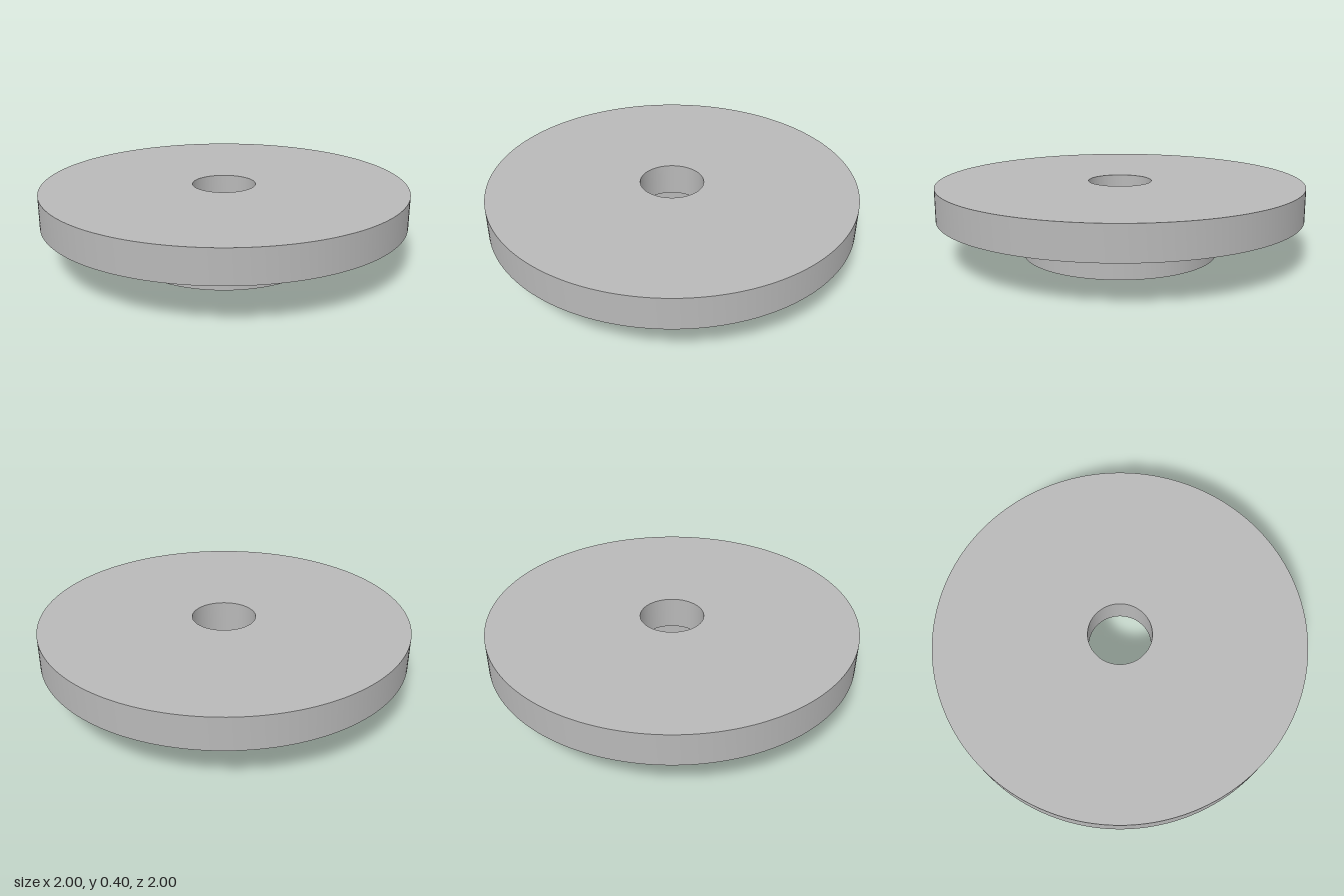
import * as THREE from 'three';
import { toCreasedNormals } from 'three/addons/utils/BufferGeometryUtils.js';

const DISC_RADIUS = 1, BOSS_RADIUS = 0.535, BORE_RADIUS = 0.173, HEX_RADIUS = 0.36;
const STEP_Y = 0.227, TOP_Y = 0.403;

function circle(radius, PathType = THREE.Path) {
  const path = new PathType();
  path.absarc(0, 0, radius, 0, Math.PI * 2, false);
  return path;
}

// Hexagon with two corners on the z axis
function hexagon(radius) {
  const points = [];
  for (let i = 0; i < 6; i++) {
    const a = Math.PI / 6 + (i * Math.PI) / 3;
    points.push(new THREE.Vector2(radius * Math.cos(a), radius * Math.sin(a)));
  }
  return new THREE.Path(points);
}

// Round plate with a hole, standing between two heights
function roundPlate(name, radius, hole, y0, y1, material) {
  const shape = circle(radius, THREE.Shape);
  shape.holes.push(hole);
  const extruded = new THREE.ExtrudeGeometry(shape, {
    depth: y1 - y0, bevelEnabled: false, curveSegments: 96,
  });
  extruded.rotateX(-Math.PI / 2).translate(0, y0, 0);
  const mesh = new THREE.Mesh(toCreasedNormals(extruded, Math.PI / 6), material);
  mesh.name = name;
  return mesh;
}

export function createModel() {
  const grey = new THREE.MeshStandardMaterial({ color: 0xb8b8b8 });
  grey.name = 'grey';

  const model = new THREE.Group();
  model.name = 'flangedKnob';
  // Wide disc with the through bore
  model.add(roundPlate('disc', DISC_RADIUS, circle(BORE_RADIUS), STEP_Y, TOP_Y, grey));
  // Lower boss with the hexagonal nut recess
  model.add(roundPlate('hexBoss', BOSS_RADIUS, hexagon(HEX_RADIUS), 0, STEP_Y, grey));
  return model;
}
